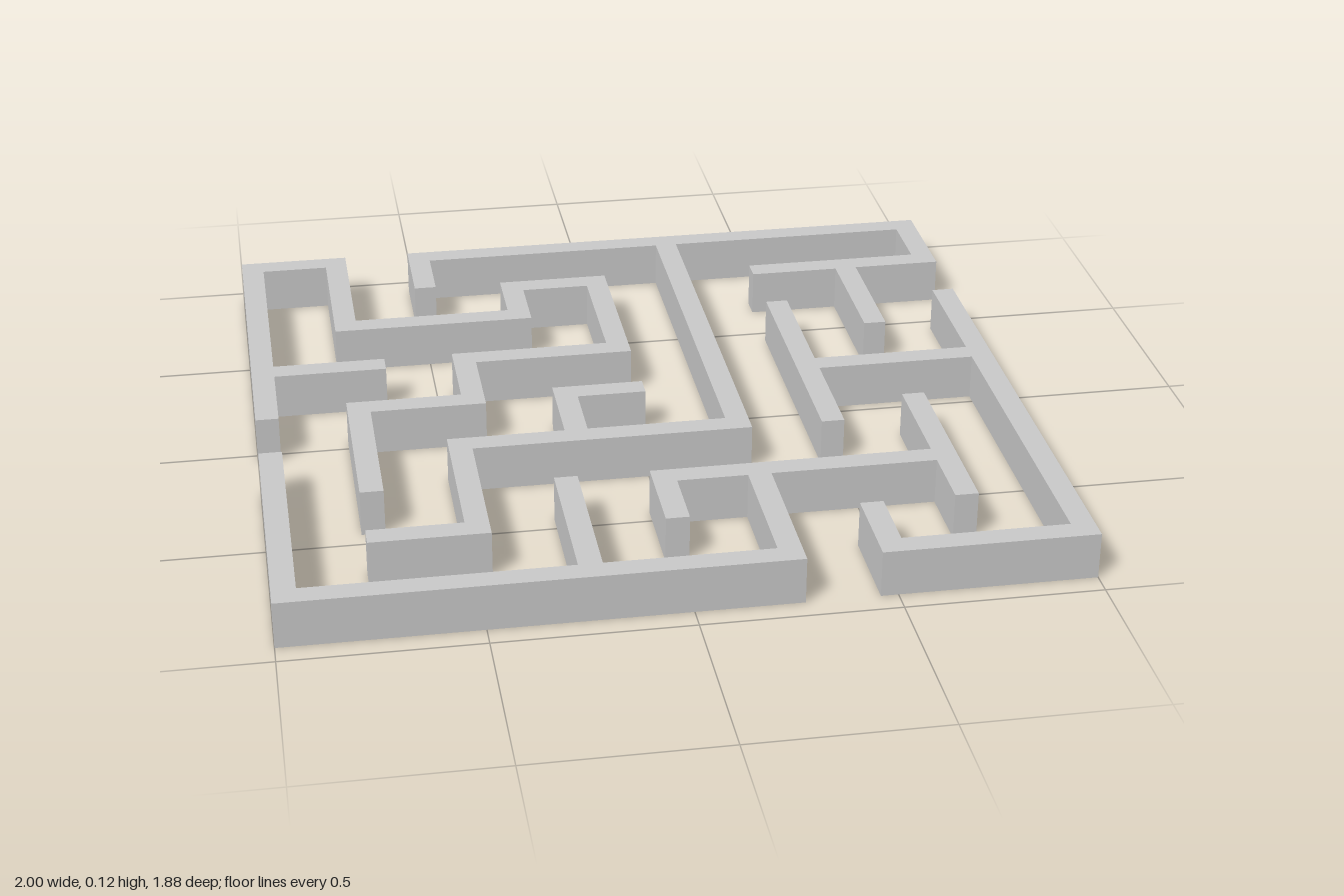
import * as THREE from 'three';

const HALF = 0.03;     // half the wall thickness
const HEIGHT = 0.122;

const material = new THREE.MeshStandardMaterial({ color: 0xcccccc, flatShading: true });

// One continuous wall: a right-angled [x, z] centre line, offset to both sides with mitred corners.
function wall(name, path) {
  const points = path.map(([x, z]) => new THREE.Vector2(x, z));
  const dirs = points.slice(1).map((p, i) => p.clone().sub(points[i]).normalize());
  const left = [], right = [];
  points.forEach((p, i) => {
    const a = dirs[Math.max(i - 1, 0)];
    const b = dirs[Math.min(i, dirs.length - 1)];
    const offset = new THREE.Vector2(-a.y, a.x);
    if (a.dot(b) < 0.5) offset.add(new THREE.Vector2(-b.y, b.x));
    offset.multiplyScalar(HALF);
    left.push(p.clone().add(offset));
    right.push(p.clone().sub(offset));
  });
  const geometry = new THREE.ExtrudeGeometry(new THREE.Shape([...left, ...right.reverse()]), {
    depth: HEIGHT, bevelEnabled: false,
  });
  geometry.rotateX(Math.PI / 2).translate(0, HEIGHT, 0);
  const mesh = new THREE.Mesh(geometry, material);
  mesh.name = name;
  return mesh;
}

export function createModel() {
  const maze = new THREE.Group();
  maze.name = 'maze';

  const walls = {
    // back left corner and the winding wall that continues from it
    windingWall: [[-0.97, 0.03], [-0.97, -0.911], [-0.73, -0.911], [-0.73, -0.488],
      [-0.243, -0.488], [-0.243, -0.67], [0, -0.67], [0, -0.241], [-0.426, -0.241],
      [-0.426, 0], [-0.73, 0], [-0.73, 0.453]],
    windingWallStub: [[-0.94, -0.241], [-0.64, -0.241]],

    // back wall with its hooked ends
    backWall: [[-0.488, -0.70], [-0.488, -0.911], [0.97, -0.911], [0.97, -0.67], [0.456, -0.67]],
    backHookStub: [[0.729, -0.64], [0.729, -0.277]],

    // long divider running inwards from the back wall
    centreDivider: [[0.241, -0.881], [0.241, 0.241], [-0.488, 0.241], [-0.488, 0.67], [-0.76, 0.67]],
    centreHook: [[-0.182, 0.211], [-0.182, 0], [0.03, 0]],

    // front wall and its branches
    frontWall: [[-0.97, 0.211], [-0.97, 0.911], [0.241, 0.911], [0.241, 0.518]],
    frontStub: [[-0.243, 0.881], [-0.243, 0.455]],
    frontCrossbar: [[0, 0.70], [0, 0.488], [0.699, 0.488]],
    frontCrossbarEnd: [[0.729, 0.153], [0.729, 0.70]],

    // side wall at +x and its T-shaped branch
    sideWall: [[0.97, -0.455], [0.97, 0.911], [0.486, 0.911], [0.486, 0.70]],
    sideCrossbar: [[0.94, -0.06], [0.516, -0.06]],
    sideCrossbarEnd: [[0.486, -0.455], [0.486, 0.27]],
  };

  for (const [name, path] of Object.entries(walls)) maze.add(wall(name, path));
  return maze;
}
